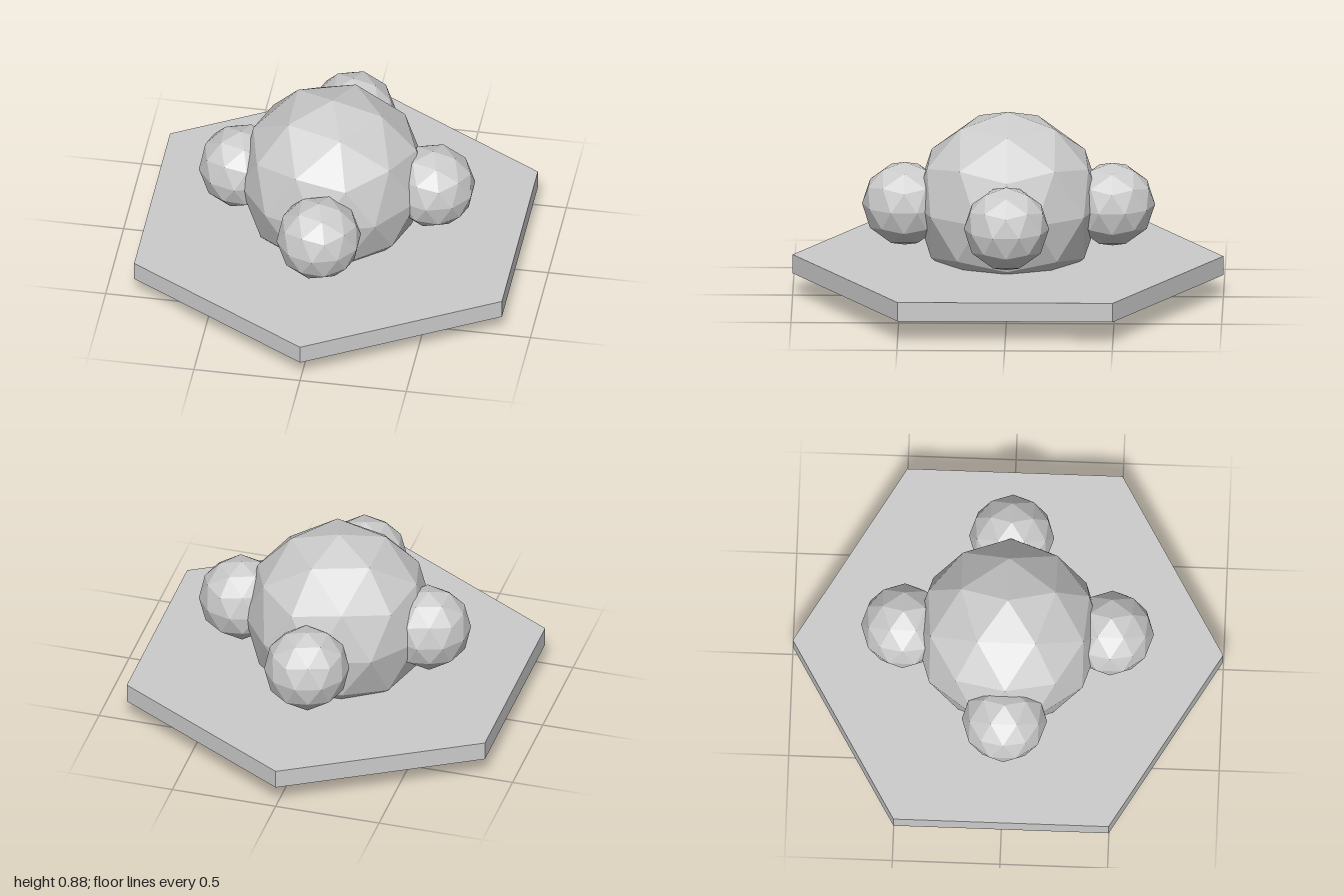
import * as THREE from 'three';

const material = new THREE.MeshStandardMaterial({ color: 0xcccccc, flatShading: true });

// 80-sided ball with a corner at its top and bottom
function makeBall(name, radius, x, y, z) {
  const geometry = new THREE.IcosahedronGeometry(radius, 1);
  const goldenRatio = (1 + Math.sqrt(5)) / 2;
  geometry.rotateZ(-Math.atan(1 / goldenRatio));
  const ball = new THREE.Mesh(geometry, material);
  ball.name = name;
  ball.position.set(x, y, z);
  return ball;
}

export function createModel() {
  const model = new THREE.Group();
  model.name = 'ballsOnPlate';

  // Hexagonal plate with corners at the front and back
  const plate = new THREE.Mesh(new THREE.CylinderGeometry(1, 1, 0.09, 6), material);
  plate.name = 'hexagonPlate';
  plate.position.y = 0.15;
  model.add(plate);

  // Large ball, poking out below the plate
  model.add(makeBall('centreBall', 0.44, -0.015, 0.44, 0));

  // Four small balls around the large one
  const smallBalls = [
    ['leftBall', 0.457, 0],
    ['rightBall', -0.447, 0],
    ['frontBall', 0, 0.48],
    ['backBall', 0, -0.485],
  ];
  for (const [name, x, z] of smallBalls) {
    model.add(makeBall(name, 0.198, x, 0.443, z));
  }

  return model;
}
